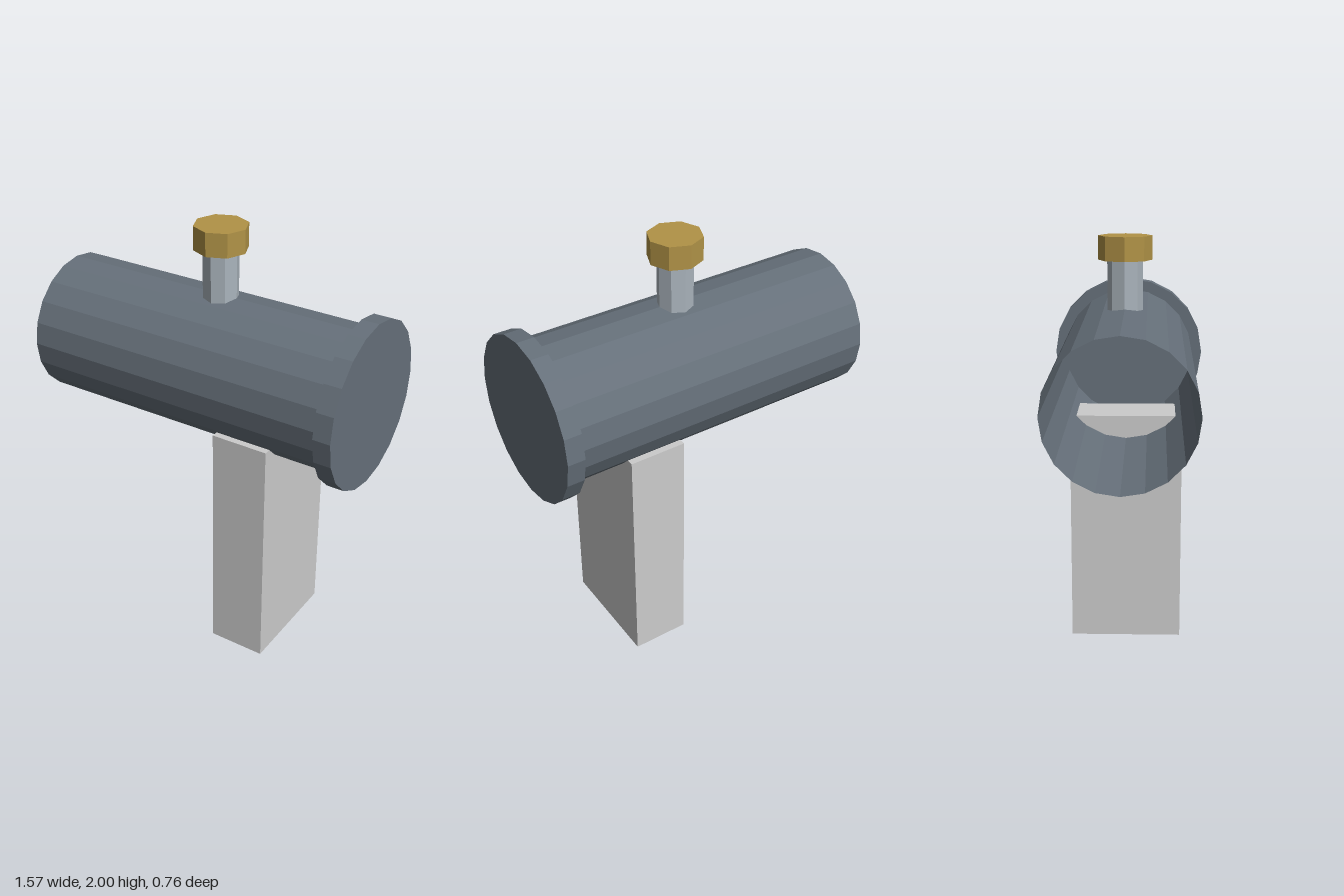
import * as THREE from 'three';

const material = (color) =>
  new THREE.MeshStandardMaterial({ color, flatShading: true, side: THREE.DoubleSide });

export function createModel() {
  const model = new THREE.Group();
  const steel = material(0x66707a);
  const silver = material(0xaab4bc);
  const brass = material(0xb19347);
  const grey = material(0xcccccc);

  const add = (name, geometry, mat, x, y) => {
    const mesh = new THREE.Mesh(geometry, mat);
    mesh.name = name;
    mesh.position.set(x, y, 0);
    model.add(mesh);
    return mesh;
  };

  // A cylinder lying along x, spanning x0 to x1
  const axisY = 1.353;
  const lying = (name, radius, x0, x1, open) => {
    const geometry = new THREE.CylinderGeometry(radius, radius, x1 - x0, 20, 1, open);
    geometry.rotateZ(-Math.PI / 2);
    return add(name, geometry, steel, (x0 + x1) / 2, axisY);
  };

  // An upright octagonal cylinder, spanning y0 to y1
  const upright = (name, radius, y0, y1, mat) =>
    add(name, new THREE.CylinderGeometry(radius, radius, y1 - y0, 8), mat, 0.025, (y0 + y1) / 2);

  // Thin-walled tube, open at both ends, closed on the right by the end cap
  lying('barrel', 0.325, -0.784, 0.703, true);
  lying('endCap', 0.378, 0.703, 0.784, false);

  // Stem and knob on top of the barrel
  upright('stem', 0.081, 1.62, 1.892, silver);
  upright('knob', 0.122, 1.892, 2, brass);

  // Support post, cut into by the barrel
  add('post', new THREE.BoxGeometry(0.27, 1.137, 0.54), grey, 0.293, 1.137 / 2);

  return model;
}
